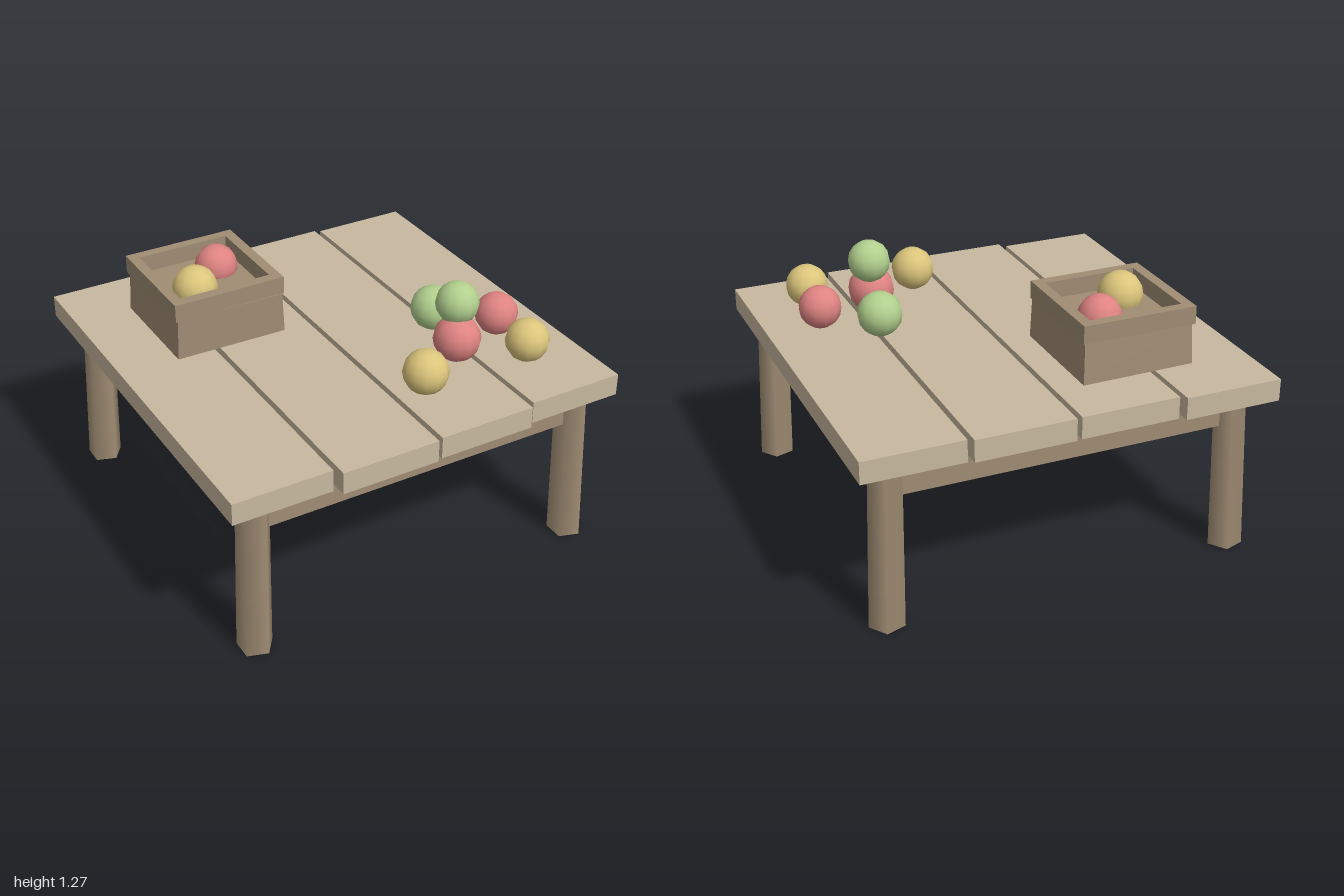
import * as THREE from 'three';

const mat = (name, color) => {
  const m = new THREE.MeshStandardMaterial({ color });
  m.name = name;
  return m;
};

export function createModel() {
  const lightWood = mat('lightWood', 0xc8b99f);
  const darkWood = mat('darkWood', 0xa08d74);
  const red = mat('redFruit', 0xdf8482);
  const yellow = mat('yellowFruit', 0xdcc67c);
  const green = mat('greenFruit', 0xb2d08e);

  const model = new THREE.Group();
  model.name = 'tableWithFruit';

  const add = (parent, name, geometry, material) => {
    const mesh = new THREE.Mesh(geometry, material);
    mesh.name = name;
    parent.add(mesh);
    return mesh;
  };

  // Box given by its limits on each axis
  const box = (parent, name, material, [x0, x1], [y0, y1], [z0, z1]) => {
    const mesh = add(parent, name, new THREE.BoxGeometry(x1 - x0, y1 - y0, z1 - z0), material);
    mesh.position.set((x0 + x1) / 2, (y0 + y1) / 2, (z0 + z1) / 2);
    return mesh;
  };

  // Table top: four planks of uneven length
  const planks = [
    [-0.99, -1.0, 0.957],
    [-0.49, -0.975, 0.997],
    [0.01, -0.98, 0.985],
    [0.51, -0.965, 0.957],
  ];
  for (const [x, z0, z1] of planks) {
    box(model, 'plank', lightWood, [x, x + 0.475], [0.79, 0.897], [z0, z1]);
  }

  // Splayed five-sided legs, and a rail between each pair
  for (const sz of [-1, 1]) {
    for (const sx of [-1, 1]) {
      const leg = new THREE.CylinderGeometry(0.078, 0.085, 0.79, 5);
      leg.rotateY(Math.PI / 2);
      leg.translate(0, 0.395, 0);
      const p = leg.attributes.position;
      for (let i = 0; i < p.count; i++) {
        const lean = 0.851 - 0.02 * (p.getY(i) / 0.79);
        p.setX(i, p.getX(i) + sx * lean);
        p.setZ(i, p.getZ(i) + sz * lean);
      }
      add(model, 'leg', leg, darkWood);
    }
    const rail = box(model, 'rail', darkWood, [-0.78, 0.78], [0.637, 0.78], [-0.03, 0.03]);
    rail.position.z = sz * 0.83;
  }

  // Crate: slightly crooked body with a square rim
  const crate = new THREE.Group();
  crate.name = 'crate';
  model.add(crate);
  const body = new THREE.BoxGeometry(1, 1, 1);
  const bp = body.attributes.position;
  for (let i = 0; i < bp.count; i++) {
    const right = bp.getX(i) > 0, top = bp.getY(i) > 0, front = bp.getZ(i) > 0;
    const x = right ? (top ? -0.16 : -0.15) : (top ? -0.696 : -0.705);
    const z = front ? (right ? -0.144 : -0.152) : (top ? -0.697 : right ? -0.715 : -0.705);
    bp.setXYZ(i, x, top ? 1.1 : 0.9, z);
  }
  body.computeVertexNormals();
  add(crate, 'crateBody', body, darkWood);
  const rimY = [1.098, 1.185];
  box(crate, 'rimLeft', darkWood, [-0.198, -0.147], rimY, [-0.71, -0.15]);
  box(crate, 'rimRight', darkWood, [-0.707, -0.656], rimY, [-0.71, -0.15]);
  box(crate, 'rimFront', darkWood, [-0.656, -0.198], rimY, [-0.203, -0.15]);
  box(crate, 'rimBack', darkWood, [-0.656, -0.198], rimY, [-0.71, -0.66]);

  // Fruit: x, y, z, radius
  const fruit = [
    ['yellowFruit', yellow, 0.145, 1.0, 0.635, 0.107],
    ['redFruit', red, 0.425, 1.003, 0.465, 0.113],
    ['greenFruit', green, 0.445, 1.165, 0.425, 0.103],
    ['greenFruit', green, 0.487, 1.0, 0.167, 0.109],
    ['redFruit', red, 0.72, 0.998, 0.36, 0.104],
    ['yellowFruit', yellow, 0.7, 1.0, 0.635, 0.104],
    ['yellowFruit', yellow, -0.515, 1.137, -0.345, 0.108],
    ['redFruit', red, -0.322, 1.125, -0.515, 0.104],
  ];
  for (const [name, material, x, y, z, r] of fruit) {
    add(model, name, new THREE.SphereGeometry(r, 12, 8), material).position.set(x, y, z);
  }

  return model;
}
